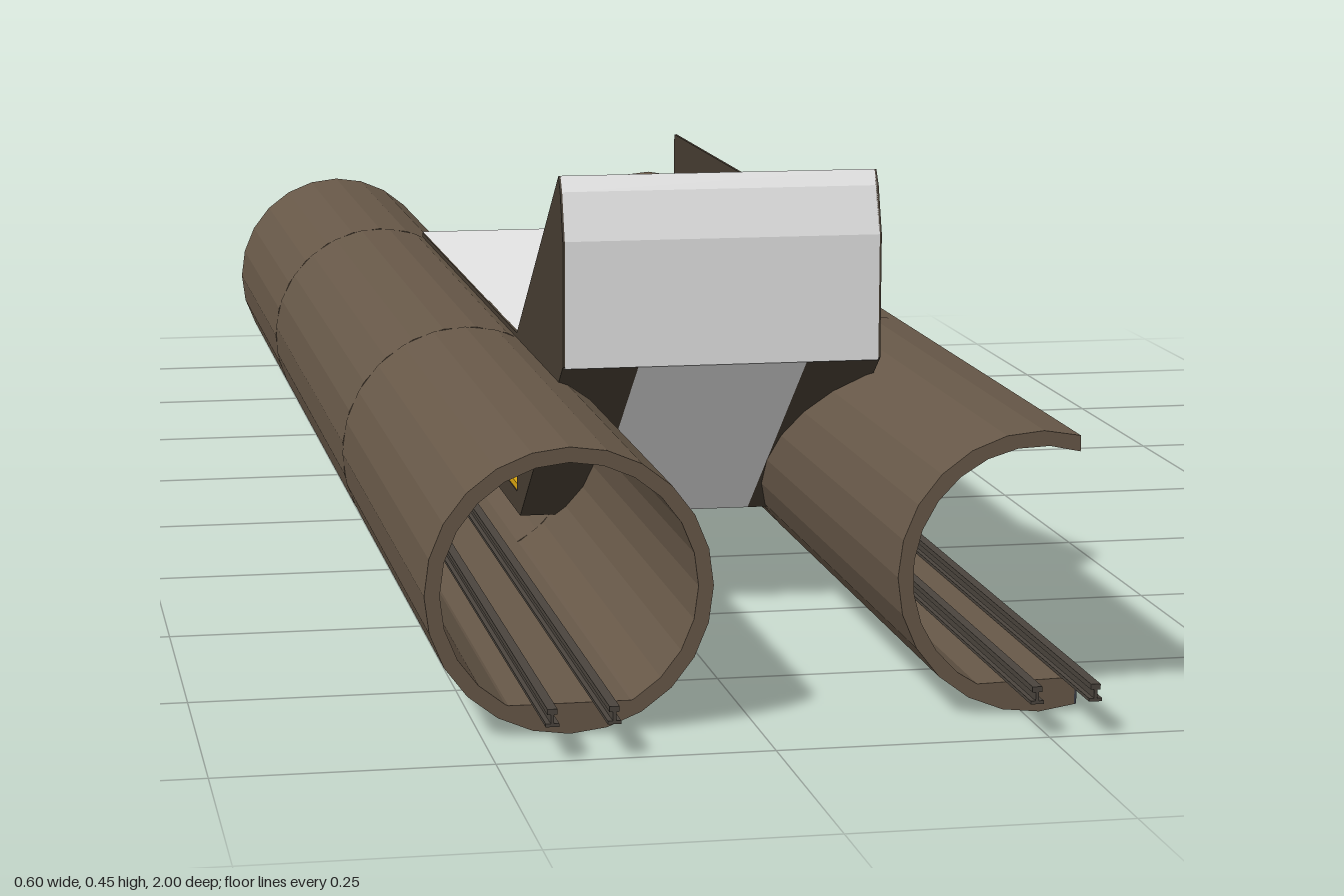
import * as THREE from 'three';

const mat = (name, color) => Object.assign(new THREE.MeshStandardMaterial({ color }), { name });

export function createModel() {
  const root = new THREE.Group();
  root.name = 'stationCutaway';
  const tunnelBrown = mat('tunnelBrown', 0x675848);
  const wallBrown = mat('wallBrown', 0x463d32);
  const lightGrey = mat('lightGrey', 0xe4e4e4);
  const slate = mat('slate', 0x3c3d46);
  const railMetal = mat('railMetal', 0x4a443d);
  const yellow = mat('safetyYellow', 0xd9a510);

  const add = (name, geo, material, parent = root) => {
    const m = new THREE.Mesh(geo, material);
    m.name = name;
    parent.add(m);
    return m;
  };
  const box = (name, x0, x1, y0, y1, z0, z1, material, parent) => {
    const g = new THREE.BoxGeometry(x1 - x0, y1 - y0, z1 - z0);
    g.translate((x0 + x1) / 2, (y0 + y1) / 2, (z0 + z1) / 2);
    return add(name, g, material, parent);
  };
  const shapeOf = (pts) => new THREE.Shape(pts.map(([a, b]) => new THREE.Vector2(a, b)));
  // side profile given as (z, y), stretched between two x positions
  const profile = (name, pts, x0, x1, material, holes = []) => {
    const s = shapeOf(pts);
    holes.forEach((h) => s.holes.push(shapeOf(h)));
    const g = new THREE.ExtrudeGeometry(s, { depth: x1 - x0, bevelEnabled: false });
    g.rotateY(-Math.PI / 2);
    g.translate(x1, 0, 0);
    return add(name, g, material);
  };
  // front outline given as (x, y), stretched between two z positions
  const alongZ = (name, pts, z0, z1, material, parent) => {
    const g = new THREE.ExtrudeGeometry(shapeOf(pts), { depth: z1 - z0, bevelEnabled: false });
    g.translate(0, 0, z0);
    return add(name, g, material, parent);
  };

  // Tunnel tubes
  const RO = 0.131, RI = 0.117, CY = 0.133, Z0 = -0.975, Z1 = 0.915;
  const DOOR0 = -0.48, DOOR1 = 0.265;
  const arc = (cx, r, a0, a1) => {
    const n = Math.max(2, Math.round(Math.abs(a1 - a0) / 15));
    return Array.from({ length: n + 1 }, (_, i) => {
      const a = THREE.MathUtils.degToRad(a0 + ((a1 - a0) * i) / n);
      return [cx + r * Math.cos(a), CY + r * Math.sin(a)];
    });
  };
  // di shifts the inner ends so that cut faces stay upright
  const ring = (cx, a0, a1, di0 = 0, di1 = 0) =>
    [...arc(cx, RO, a0, a1), ...arc(cx, RI, a1 + di1, a0 + di0)];

  const makeTunnel = (name, cx, whole, middle, bed, rails) => {
    const g = new THREE.Group();
    g.name = name;
    root.add(g);
    alongZ('tubeBack', whole, Z0, DOOR0, tunnelBrown, g);
    alongZ('tubeFront', whole, DOOR1, Z1, tunnelBrown, g);
    middle.forEach((pts) => alongZ('tubeBesidePlatform', pts, DOOR0, DOOR1, tunnelBrown, g));
    alongZ('trackBed', bed, Z0, Z1, tunnelBrown, g);
    // I-section rails
    rails.forEach((x) => {
      box('railFoot', x - 0.006, x + 0.006, 0.033, 0.036, -1, 1, railMetal, g);
      box('railWeb', x - 0.0015, x + 0.0015, 0.036, 0.044, -1, 1, railMetal, g);
      box('railHead', x - 0.0045, x + 0.0045, 0.044, 0.049, -1, 1, railMetal, g);
    });
    return g;
  };
  const LX = -0.17, RX = 0.262, CUT = 0.3;
  makeTunnel('rightTunnel', LX, ring(LX, 0, 360), [ring(LX, 55, 340)],
    arc(LX, RI + 0.003, 238.7, 301.3), [-0.2, -0.145]);
  const bed = arc(RX, RI + 0.003, 238.7, 288.5);
  bed.push([CUT, 0.033]);
  const cutTunnel = makeTunnel('leftCutTunnel', RX, ring(RX, 73.1, 286.9, -2.1, 2.1),
    [ring(RX, 73.1, 125, -2.1, 0), ring(RX, 200, 286.9, 0, 2.1)], bed, [0.238, 0.292]);
  box('trackBedSection', CUT - 0.001, CUT + 0.001, 0.008, 0.033, Z0, Z1, slate, cutTunnel);

  // Lower hall: floor, sloped nose and back wall, between the tunnels and beside them
  const hall = [[0.555, 0.27], [0.285, 0.063], [-0.49, 0.063], [-0.49, 0.25], [-0.483, 0.25],
    [-0.483, 0.085], [0.265, 0.085], [0.265, 0.25]];
  profile('hallCentre', hall, -0.039, 0.131, lightGrey);
  profile('hallRightFlank', hall, -0.113, -0.039, wallBrown);
  profile('hallLeftFlank', hall, 0.131, 0.203, wallBrown);

  // Roof with raised front
  profile('roof', [[-0.5, 0.24], [-0.5, 0.256], [0.265, 0.256], [0.53, 0.456], [0.54, 0.441],
    [0.555, 0.394], [0.555, 0.268], [0.265, 0.24]], -0.113, 0.203, lightGrey);
  box('ceiling', -0.112, 0.202, 0.234, 0.24, DOOR0, DOOR1, slate);

  // Side walls with two platform openings each
  const opening = (z0, z1) => [[z0, 0.085], [z1, 0.085], [z1, 0.236], [z0, 0.236]];
  const openings = [opening(DOOR0, -0.134), opening(-0.126, DOOR1)];
  const nose = [[0.285, 0.063], [0.555, 0.27], [0.555, 0.394], [0.54, 0.441], [0.53, 0.456]];
  profile('leftWall', [[-0.49, 0.063], ...nose, [0.265, 0.375], [-0.475, 0.375],
    [-0.475, 0.256], [-0.49, 0.256]], 0.202, 0.205, wallBrown, openings);
  profile('rightWall', [[-0.49, 0.063], ...nose, [0.265, 0.256], [-0.49, 0.256]],
    -0.115, -0.112, wallBrown, openings);

  // Partition with cross beams, and platform edge stripes
  box('partition', -0.111, 0.201, 0.085, 0.235, -0.133, -0.127, lightGrey);
  [0.15, 0.207].forEach((y) =>
    box('crossBeam', -0.12, 0.21, y - 0.002, y + 0.002, -0.135, -0.125, railMetal));
  [[-0.114, -0.1], [0.19, 0.204]].forEach(([a, b]) =>
    box('platformEdge', a, b, 0.085, 0.092, DOOR0, DOOR1, yellow));

  return root;
}
